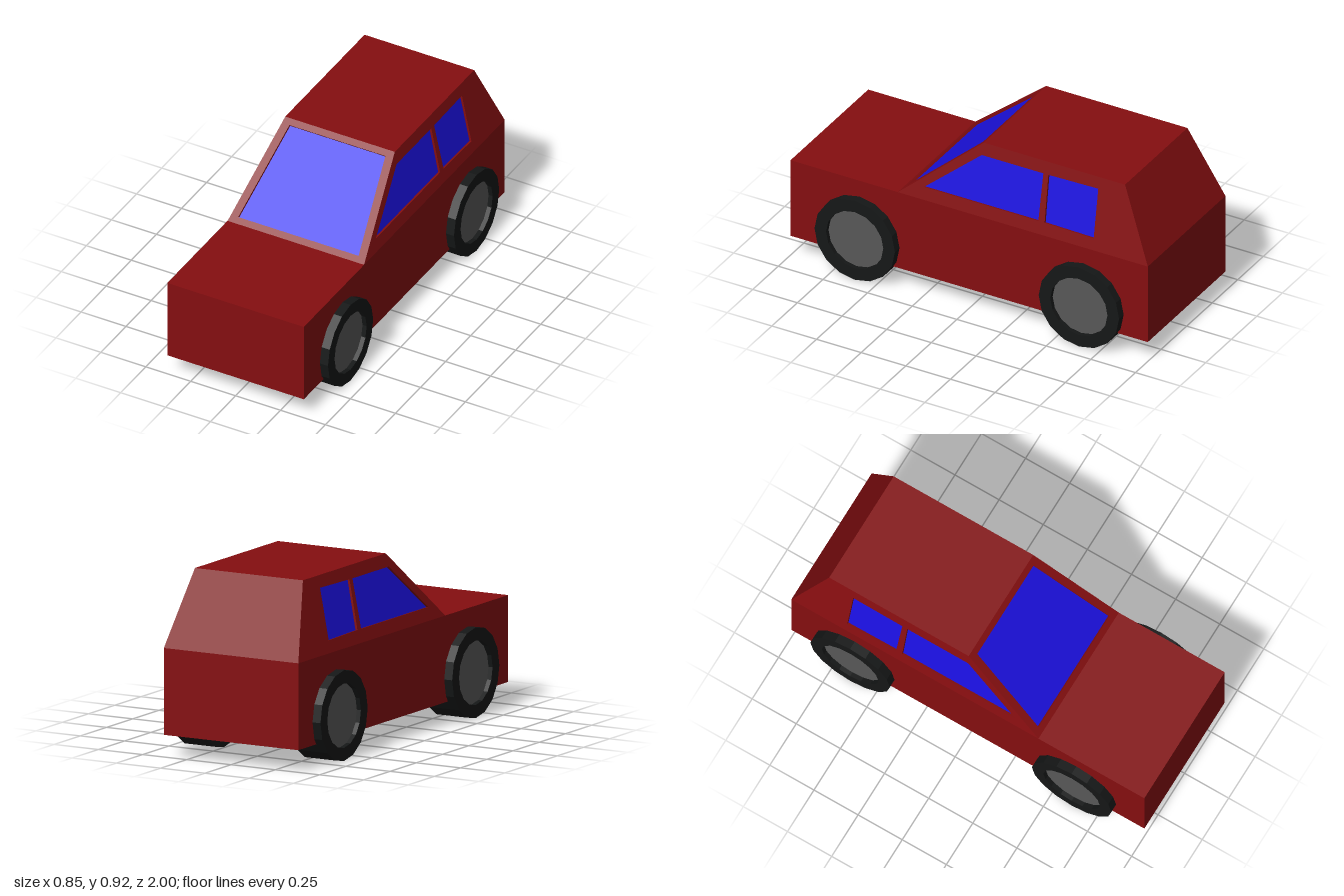
import * as THREE from 'three';

const paint = new THREE.MeshStandardMaterial({ color: 0x850e10, flatShading: true });
const glass = new THREE.MeshStandardMaterial({ color: 0x1b10e0, flatShading: true });
const rubber = new THREE.MeshStandardMaterial({ color: 0x151717, flatShading: true });
const hubGrey = new THREE.MeshStandardMaterial({ color: 0x585858, flatShading: true });

const SILL = 0.54, ROOF = 0.915, HALF = 0.38, ROOF_HALF = 0.305;
const FRONT = 0.4, ROOF_FRONT = -0.04, ROOF_BACK = -0.83, BACK = -1;
const RECESS = 0.012;

const points = (list) => list.map(([u, v]) => new THREE.Vector2(u, v));

function mesh(name, geometry, material) {
  const m = new THREE.Mesh(geometry, material);
  m.name = name;
  return m;
}

// Slanted cabin wall: outline in (u, height above sill), window openings with recessed glass
function wall(name, outline, windows, origin, u, v) {
  const group = new THREE.Group();
  group.name = name;
  const n = new THREE.Vector3().crossVectors(u, v).normalize();
  const place = new THREE.Matrix4().makeBasis(u, v, n).setPosition(origin);
  const shape = new THREE.Shape(points(outline));
  windows.forEach((w) => shape.holes.push(new THREE.Path(points(w))));
  const frame = new THREE.ExtrudeGeometry(shape, { depth: RECESS, bevelEnabled: false });
  frame.translate(0, 0, -RECESS).applyMatrix4(place);
  group.add(mesh(name + 'Frame', frame, paint));
  windows.forEach((w) => {
    const pane = new THREE.ShapeGeometry(new THREE.Shape(points(w)));
    pane.translate(0, 0, -RECESS + 0.001).applyMatrix4(place);
    group.add(mesh(name + 'Glass', pane, glass));
  });
  return group;
}

// Wheel with its outer face towards +x
function wheel(name) {
  const group = new THREE.Group();
  group.name = name;
  const profile = points([[0, -0.085], [0.225, -0.085], [0.225, 0.085], [0.16, 0.085], [0.16, 0.06]]);
  const tyre = new THREE.LatheGeometry(profile, 16).rotateZ(-Math.PI / 2);
  const hub = new THREE.CircleGeometry(0.16, 16).rotateY(Math.PI / 2);
  hub.translate(0.062, 0, 0);
  group.add(mesh('tyre', tyre, rubber), mesh('hub', hub, hubGrey));
  return group;
}

export function createModel() {
  const model = new THREE.Group();
  model.name = 'car';
  const h = ROOF - SILL;
  const V = (x, y, z) => new THREE.Vector3(x, y, z);

  // Lower body
  const body = new THREE.BoxGeometry(HALF * 2, SILL - 0.11, 2);
  body.translate(0, (SILL + 0.11) / 2, 0);
  model.add(mesh('lowerBody', body, paint));

  // Windscreen, tailgate and roof
  const taper = [[-HALF, 0], [HALF, 0], [ROOF_HALF, h], [-ROOF_HALF, h]];
  const screen = [[-0.335, 0.022], [0.335, 0.022], [0.267, 0.353], [-0.267, 0.353]];
  model.add(wall('windscreen', taper, [screen], V(0, SILL, FRONT),
    V(1, 0, 0), V(0, 1, (ROOF_FRONT - FRONT) / h)));
  model.add(wall('tailgate', taper, [], V(0, SILL, BACK),
    V(-1, 0, 0), V(0, 1, (ROOF_BACK - BACK) / h)));
  const roof = [[-ROOF_HALF, -ROOF_FRONT], [ROOF_HALF, -ROOF_FRONT],
    [ROOF_HALF, -ROOF_BACK], [-ROOF_HALF, -ROOF_BACK]];
  model.add(wall('roof', roof, [], V(0, ROOF, 0), V(1, 0, 0), V(0, 0, -1)));

  // Cabin sides, u runs towards the back
  const side = [[-FRONT, 0], [-BACK, 0], [-ROOF_BACK, h], [-ROOF_FRONT, h]];
  const frontWindow = [[-0.26, 0.065], [0.38, 0.065], [0.38, 0.31], [0.035, 0.31]];
  const rearWindow = [[0.415, 0.065], [0.69, 0.06], [0.687, 0.315], [0.408, 0.31]];
  for (const s of [1, -1]) {
    const label = s > 0 ? 'left' : 'right';
    const panel = wall(label + 'CabinSide', side, [frontWindow, rearWindow],
      V(HALF, SILL, 0), V(0, 0, -1), V((ROOF_HALF - HALF) / h, 1, 0));
    panel.scale.x = s;
    model.add(panel);

    // Wheels
    for (const [end, z] of [['Front', 0.615], ['Rear', -0.64]]) {
      const w = wheel(label + end + 'Wheel');
      w.position.set(s * 0.34, 0.225, z);
      if (s < 0) w.rotation.y = Math.PI;
      model.add(w);
    }
  }
  return model;
}
